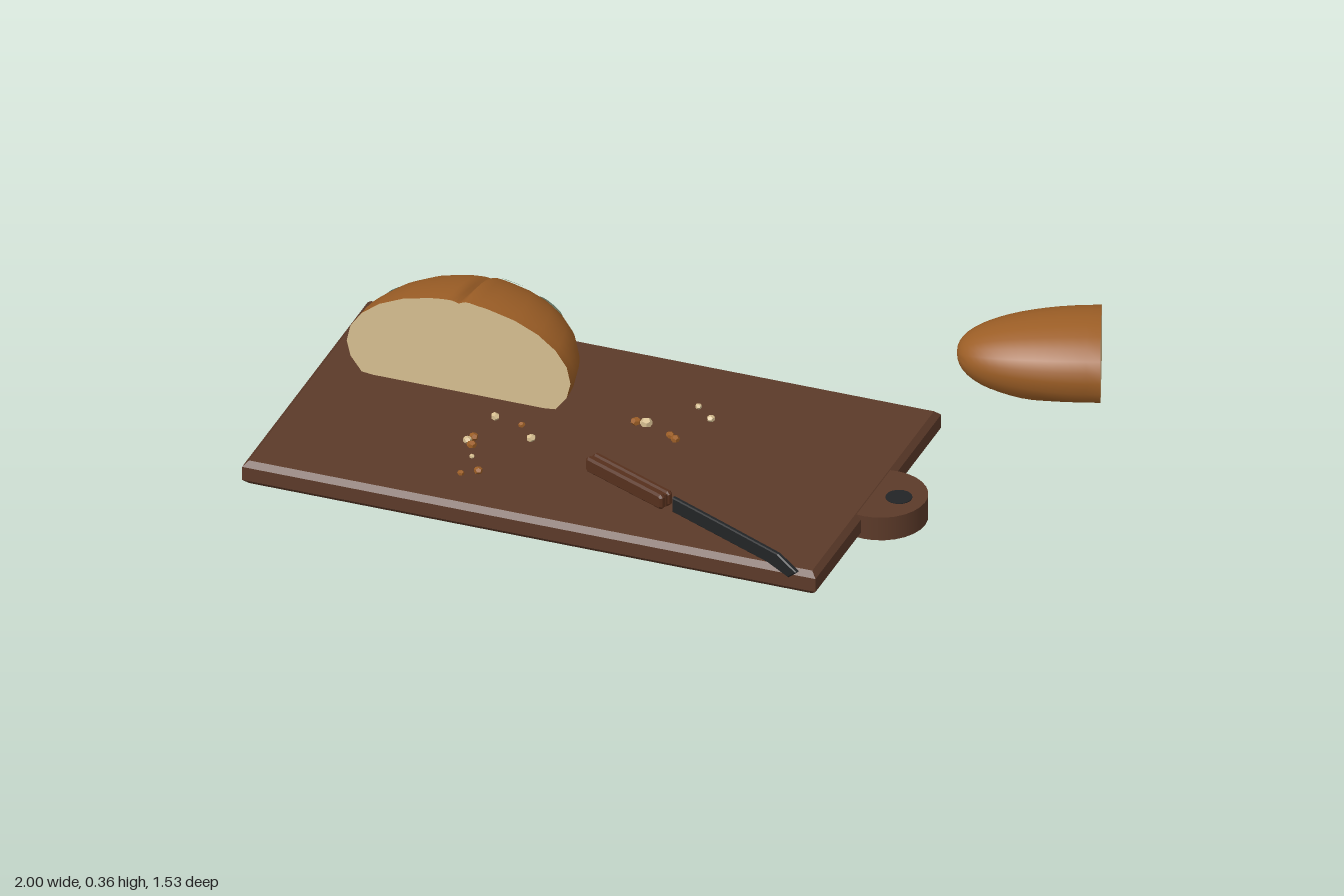
import * as THREE from 'three';
import { toCreasedNormals } from 'three/addons/utils/BufferGeometryUtils.js';

const mat = (name, color, side = THREE.FrontSide) => {
  const m = new THREE.MeshStandardMaterial({ color, side });
  m.name = name;
  return m;
};

export function createModel() {
  const root = new THREE.Group();
  const wood = mat('board wood', 0x5c3a29);
  const handleWood = mat('handle wood', 0x56301d);
  const dark = mat('dark steel', 0x222426);
  const crust = mat('crust', 0x9c5e26);
  const crumbMat = mat('bread inside', 0xd6be90);
  const mold = mat('pale green mold', 0x93ab92, THREE.DoubleSide);

  const add = (parent, name, geo, material, x = 0, y = 0, z = 0) => {
    const m = new THREE.Mesh(geo, material);
    m.name = name;
    m.position.set(x, y, z);
    parent.add(m);
    return m;
  };
  let seed = 7;
  const rnd = () => (seed = (seed * 16807) % 2147483647) / 2147483647;

  // Cutting board with chamfered edges, round tab and hole
  const B = 0.015;
  const outline = new THREE.Shape([[-1, -0.73], [0.64, -0.73], [0.64, 0.2], [-1, 0.2]].map(([x, y]) =>
    new THREE.Vector2(x + (x < 0 ? B : -B), y + (y < 0 ? B : -B))));
  const boardGeo = new THREE.ExtrudeGeometry(outline, {
    depth: 0.07 - 2 * B, bevelEnabled: true, bevelSize: B, bevelThickness: B, bevelSegments: 1 });
  boardGeo.rotateX(-Math.PI / 2);
  add(root, 'cuttingBoard', boardGeo, wood, 0, 0.009 + B, 0);
  add(root, 'boardTab', new THREE.CylinderGeometry(0.127, 0.127, 0.07, 28), wood, 0.648, 0.042, 0.268);
  add(root, 'tabHole', new THREE.CylinderGeometry(0.036, 0.036, 0.004, 20), dark, 0.7, 0.077, 0.268);

  // Half loaf: elliptical sections shrinking away from a flat cut, resting on a floor height
  const loafPoint = (L, phi, a, grow = 1) => {
    const f = Math.pow(Math.max(Math.cos(phi), 0), 0.88) * grow, s = Math.sin(phi);
    const x = L.rx * f * Math.cos(a);
    let y = L.cy + (Math.sin(a) > 0 ? L.up : L.down) * f * Math.sin(a);
    if (Math.sin(a) > 0 && L.score && s < 0.86) {
      const t = Math.sin(Math.PI * (s + 0.12) / 0.98);
      y += t * (0.008 * Math.exp(-(((x - 0.025) / 0.02) ** 2)) - L.score * Math.exp(-((x / 0.011) ** 2)));
    }
    return [x, Math.max(y, L.floor), -L.len * s * (grow > 1 ? 1.01 : 1)];
  };
  const buildLoaf = (name, L) => {
    const g = new THREE.Group();
    g.name = name;
    const angles = [];
    for (let i = 0; i < 24; i++) angles.push((i / 24) * Math.PI * 2);
    if (L.score) for (const d of [0.03, 0.06, 0.1, 0.16]) angles.push(Math.PI / 2 - d, Math.PI / 2 + d);
    angles.sort((p, q) => p - q);
    const n = angles.length, rows = 16, pos = [], idx = [];
    for (let v = 0; v <= rows; v++) {
      for (const a of angles) pos.push(...loafPoint(L, (v / rows) * Math.PI / 2, a));
      if (v === rows) break;
      for (let i = 0; i < n; i++) {
        const p = v * n + i, q = v * n + (i + 1) % n;
        idx.push(p, p + n, q);
        if (v < rows - 1) idx.push(q, p + n, q + n);
      }
    }
    const geo = new THREE.BufferGeometry();
    geo.setAttribute('position', new THREE.Float32BufferAttribute(pos, 3));
    geo.setIndex(idx);
    add(g, 'crust', toCreasedNormals(geo, 0.7), crust);
    const face = new THREE.Shape(angles.map(a => new THREE.Vector2(...loafPoint(L, 0, a))));
    add(g, 'cutFace', new THREE.ShapeGeometry(face), crumbMat);
    root.add(g);
    return g;
  };

  const big = { rx: 0.32, up: 0.187, down: 0.175, cy: 0.17, floor: 0.077, len: 0.32, score: 0.018 };
  const loaf = buildLoaf('halfLoaf', big);
  loaf.position.set(-0.595, 0, 0.175);
  const end = buildLoaf('loafEnd', { rx: 0.167, up: 0.113, down: 0.137, cy: 0.09, floor: 0.005, len: 0.385 });
  end.position.set(0.937, 0, -0.615);
  end.rotation.y = 1.926;

  // Mold patches: ragged fans that follow the crust
  for (const [phi, a, r] of [[0.58, 2.75, 0.03], [0.87, 1.32, 0.025], [0.98, 0.58, 0.03],
    [1.27, 0.2, 0.022], [1.0, 3.5, 0.022]]) {
    const pos = [...loafPoint(big, phi, a, 1.02)], idx = [], N = 11;
    const f = Math.max(Math.cos(phi), 0.3);
    for (let k = 1; k <= 2; k++) for (let i = 0; i < N; i++) {
      const t = (i / N) * Math.PI * 2, d = r * (k === 1 ? 0.5 : 0.75 + 0.5 * rnd());
      pos.push(...loafPoint(big, phi + d * Math.cos(t) / 0.28, a + d * Math.sin(t) / (0.25 * f), 1.02));
    }
    for (let i = 0; i < N; i++) {
      const p = 1 + i, q = 1 + (i + 1) % N;
      idx.push(0, q, p, p, q, p + N, q, q + N, p + N);
    }
    const geo = new THREE.BufferGeometry();
    geo.setAttribute('position', new THREE.Float32BufferAttribute(pos, 3));
    geo.setIndex(idx);
    geo.computeVertexNormals();
    // Turn the fan outward
    const nrm = geo.attributes.normal;
    if (nrm.getX(0) * pos[0] + nrm.getY(0) * (pos[1] - big.cy) + nrm.getZ(0) * pos[2] < 0) {
      geo.setIndex(idx.reverse());
      geo.computeVertexNormals();
    }
    add(loaf, 'moldPatch', geo, mold);
  }

  // Knife lying on its edge: two handle scales around a tang, and a clipped blade
  const knife = new THREE.Group();
  knife.name = 'knife';
  knife.position.set(-0.12, 0, 0.427);
  knife.rotation.y = -0.43;
  root.add(knife);
  const plate = (pts, depth, bevel) => {
    const geo = new THREE.ExtrudeGeometry(new THREE.Shape(pts.map(p => new THREE.Vector2(...p))), {
      depth: depth - 2 * bevel, bevelEnabled: bevel > 0, bevelSize: bevel, bevelThickness: bevel,
      bevelOffset: -bevel, bevelSegments: 1 });
    return geo.translate(0, 0, bevel - depth / 2);
  };
  const scale = [[0, 0.088], [0.008, 0.08], [0.285, 0.08], [0.293, 0.088], [0.293, 0.117],
    [0.285, 0.125], [0.008, 0.125], [0, 0.117]];
  for (const s of [-1, 1]) add(knife, 'handleScale', plate(scale, 0.02, 0.006), handleWood, 0, 0, s * 0.013);
  add(knife, 'tang', new THREE.BoxGeometry(0.285, 0.036, 0.008), handleWood, 0.147, 0.102, 0);
  add(knife, 'blade', plate([[0.318, 0.081], [0.68, 0.078], [0.76, 0.064], [0.792, 0.092],
    [0.72, 0.12], [0.5, 0.124], [0.318, 0.126]], 0.014, 0.003), dark);

  // Crumbs: x, z, size, pale or crusty
  const crumbs = [[-0.45, 0.28, 0.014, 1], [-0.465, 0.4, 0.014, 0], [-0.475, 0.42, 0.013, 1],
    [-0.455, 0.44, 0.014, 0], [-0.435, 0.49, 0.008, 1], [-0.39, 0.56, 0.013, 0], [-0.43, 0.585, 0.01, 0],
    [-0.37, 0.29, 0.01, 0], [-0.32, 0.35, 0.013, 1], [-0.09, 0.17, 0.015, 0], [-0.06, 0.17, 0.018, 1],
    [0.035, 0.03, 0.01, 1], [0.09, 0.08, 0.012, 1], [0.02, 0.2, 0.012, 0], [0.04, 0.215, 0.013, 0],
    [0.63, -0.57, 0.009, 1], [0.66, -0.59, 0.008, 1]];
  for (const [x, z, r, pale] of crumbs) {
    const base = x > 0.6 ? 0 : 0.079;
    const c = add(root, 'crumb', new THREE.DodecahedronGeometry(r, 0), pale ? crumbMat : crust, x, base + r * 0.8, z);
    c.scale.set(1, 0.8, 0.8 + 0.4 * rnd());
    c.rotation.y = rnd() * 6;
  }
  return root;
}
